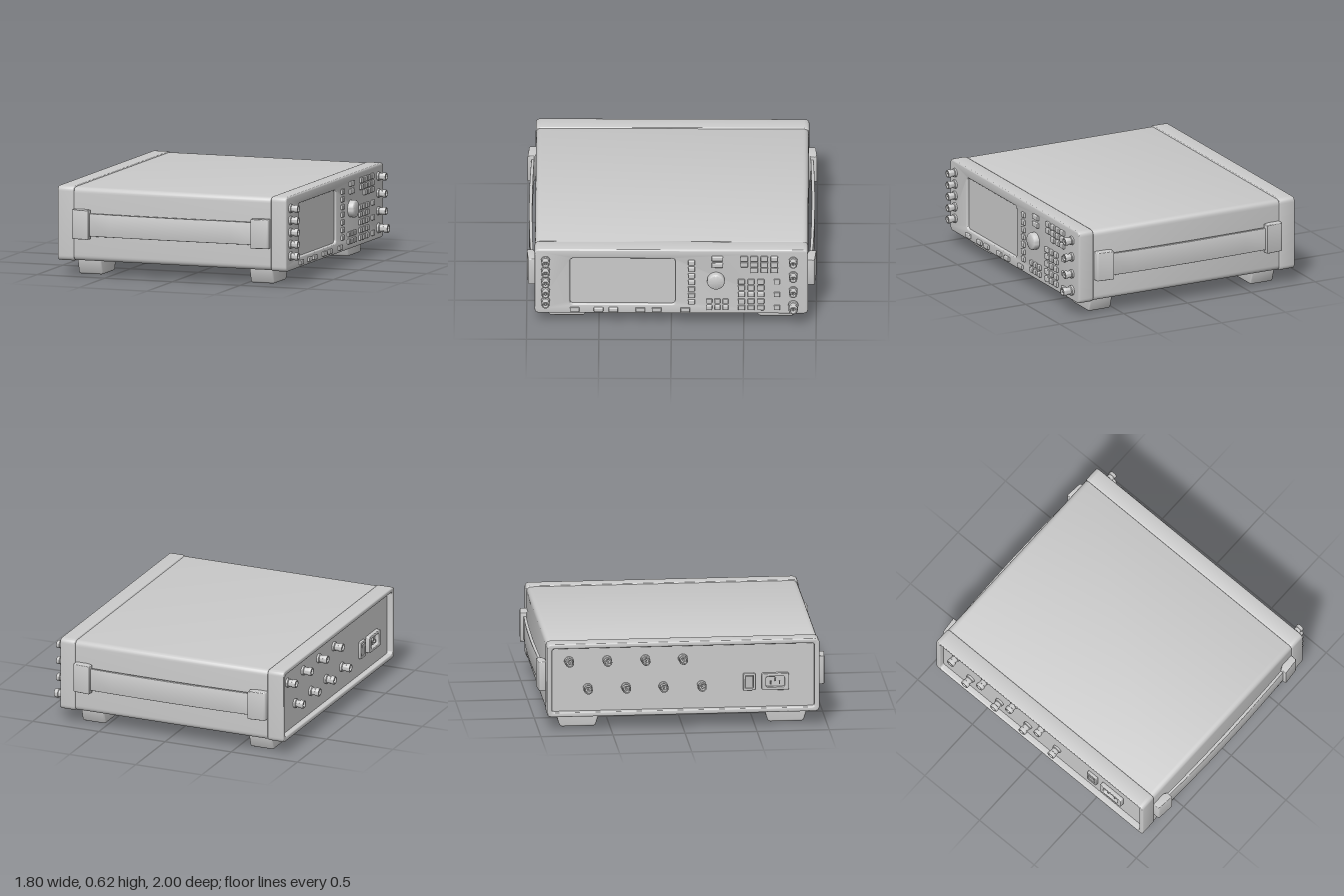
import * as THREE from 'three';
import { toCreasedNormals } from 'three/addons/utils/BufferGeometryUtils.js';
import { RoundedBoxGeometry } from 'three/addons/geometries/RoundedBoxGeometry.js';

const grey = new THREE.MeshStandardMaterial({ color: 0xcccccc });

function add(parent, name, geometry, x = 0, y = 0, z = 0) {
  const mesh = new THREE.Mesh(geometry, grey);
  mesh.name = name;
  mesh.position.set(x, y, z);
  parent.add(mesh);
  return mesh;
}

// Rounded rectangle; u runs along -z, v along y
function roundRect(u0, u1, v0, v1, r, Type = THREE.Shape) {
  const s = new Type();
  s.moveTo(u0 + r, v0);
  s.lineTo(u1 - r, v0);
  s.quadraticCurveTo(u1, v0, u1, v0 + r);
  s.lineTo(u1, v1 - r);
  s.quadraticCurveTo(u1, v1, u1 - r, v1);
  s.lineTo(u0 + r, v1);
  s.quadraticCurveTo(u0, v1, u0, v1 - r);
  s.lineTo(u0, v0 + r);
  s.quadraticCurveTo(u0, v0, u0 + r, v0);
  return s;
}

function extrude(shape, depth, bevel) {
  return new THREE.ExtrudeGeometry(shape, {
    depth: depth - 2 * bevel, curveSegments: 6, bevelEnabled: bevel > 0, bevelSegments: 3,
    bevelSize: bevel, bevelThickness: bevel, bevelOffset: -bevel,
  }).translate(0, 0, bevel);
}

// Extrudes a (u, v) shape from x0 to x1
function slab(shape, x0, x1, bevel) {
  const g = extrude(shape, x1 - x0, bevel).rotateY(Math.PI / 2).translate(x0, 0, 0);
  return toCreasedNormals(g, 0.6);
}

// Turned part; profile is [radius, height] pairs, axis along +x (dir 1) or -x (dir -1)
function turned(profile, dir = 1, sides = 24) {
  const pts = profile.map(([r, h]) => new THREE.Vector2(r, h));
  return toCreasedNormals(new THREE.LatheGeometry(pts, sides).rotateZ(-dir * Math.PI / 2), 0.6);
}

// Coaxial socket with base flange, barrel, collar, hollow mouth and centre pin
function socketProfile(r, len) {
  return [[r, 0], [r, len * 0.2], [r * 0.78, len * 0.25], [r * 0.78, len * 0.6], [r * 0.9, len * 0.63],
    [r * 0.9, len * 0.92], [r * 0.82, len], [r * 0.6, len], [r * 0.6, len * 0.5],
    [r * 0.2, len * 0.5], [r * 0.2, len * 0.9], [0, len * 0.9]];
}

export function createModel() {
  const model = new THREE.Group();
  const FACE = 0.82;

  // Case: middle shell between two bezels
  add(model, 'caseShell', slab(roundRect(-0.942, 0.942, 0.104, 0.615, 0.04), -0.75, 0.705, 0.004));

  const frontShape = roundRect(-0.945, 0.945, 0.1, 0.62, 0.035);
  frontShape.holes.push(roundRect(-0.7, 0.027, 0.176, 0.547, 0.025, THREE.Path));
  add(model, 'frontBezel', slab(frontShape, 0.705, FACE, 0.01));
  add(model, 'screen', new THREE.BoxGeometry(0.08, 0.39, 0.75), 0.762, 0.3615, 0.3365);

  const rearShape = roundRect(-0.945, 0.945, 0.1, 0.62, 0.035);
  rearShape.holes.push(roundRect(-0.91, 0.91, 0.133, 0.587, 0.02, THREE.Path));
  add(model, 'rearBezel', slab(rearShape, -0.87, -0.75, 0.008));
  add(model, 'rearPanel', new THREE.BoxGeometry(0.07, 0.47, 1.84), -0.795, 0.36, 0);

  // Feet, tapered towards the ground
  for (const side of [-1, 1]) {
    for (const [x0, x1] of [[-0.75, -0.575], [0.52, 0.692]]) {
      const s = new THREE.Shape();
      s.moveTo(-0.15, 0.125);
      s.lineTo(-0.15, 0.09);
      s.lineTo(-0.128, 0.018);
      s.quadraticCurveTo(-0.122, 0, -0.105, 0);
      s.lineTo(0.105, 0);
      s.quadraticCurveTo(0.122, 0, 0.128, 0.018);
      s.lineTo(0.15, 0.09);
      s.lineTo(0.15, 0.125);
      s.closePath();
      add(model, 'foot', slab(s, x0, x1, 0.012), 0, 0, side * 0.722);
    }
  }

  // Side carrying handles: bowed strap held by two end caps
  for (const side of [-1, 1]) {
    const handle = new THREE.Group();
    handle.name = 'sideHandle';
    const strap = new THREE.Shape();
    strap.moveTo(-0.66, 0.953);
    strap.quadraticCurveTo(0, 0.977, 0.66, 0.953);
    strap.lineTo(0.66, 0.972);
    strap.quadraticCurveTo(0, 1.004, -0.66, 0.972);
    strap.closePath();
    // Plan shapes are drawn in x and z, then stood up along y
    const upright = (shape, y0, y1, bevel) => toCreasedNormals(
      extrude(shape, y1 - y0, bevel).rotateX(Math.PI / 2).translate(0, y1, 0), 0.6);
    add(handle, 'handleStrap', upright(strap, 0.282, 0.44, 0.003));
    for (const end of [-1, 1]) {
      const cap = new THREE.Shape();
      cap.moveTo(end * 0.725, 0.935);
      cap.lineTo(end * 0.725, 0.982);
      cap.quadraticCurveTo(end * 0.722, 0.988, end * 0.71, 0.99);
      cap.lineTo(end * 0.6, 1.0);
      cap.lineTo(end * 0.597, 0.955);
      cap.lineTo(end * 0.64, 0.935);
      cap.closePath();
      add(handle, 'handleCap', upright(cap, 0.26, 0.465, 0.005));
    }
    handle.position.x = -0.025;
    if (side < 0) handle.rotation.y = Math.PI;
    if (side < 0) handle.position.x = -0.025;
    model.add(handle);
  }

  // Front keys, in blocks of [name, z list, y list, width, height]
  const keyBlocks = [
    ['softKey', [-0.139], [0.519, 0.466, 0.412, 0.359, 0.305, 0.252, 0.199], 0.048, 0.036],
    ['lowerKey', [0.668, 0.503, 0.401, 0.214, 0.102, -0.096], [0.134], 0.066, 0.032],
    ['modeKey', [-0.318], [0.553, 0.5], 0.08, 0.035],
    ['arrowKey', [-0.262, -0.318, -0.374], [0.206, 0.155], 0.041, 0.036],
    ['functionKey', [-0.503, -0.572, -0.642, -0.711], [0.553, 0.506], 0.053, 0.038],
    ['functionKey', [-0.572, -0.642, -0.711], [0.46], 0.053, 0.038],
    ['numberKey', [-0.484, -0.551, -0.618], [0.366, 0.316, 0.262, 0.206, 0.154], 0.048, 0.037],
    ['outputKey', [-0.729], [0.366, 0.262, 0.154], 0.043, 0.036],
  ];
  for (const [name, zs, ys, w, h] of keyBlocks) {
    const key = new RoundedBoxGeometry(0.03, h, w, 2, 0.006);
    for (const z of zs) for (const y of ys) add(model, name, key, FACE, y, z);
  }

  // Tuning knob
  add(model, 'tuningKnob', turned([[0.06, 0], [0.06, 0.034], [0.056, 0.041], [0.05, 0.044], [0, 0.044]], 1, 40),
    FACE, 0.38, -0.308);

  // Front sockets
  const frontSocket = turned(socketProfile(0.031, 0.062));
  for (const y of [0.535, 0.452, 0.369, 0.286, 0.203]) add(model, 'leftSocket', frontSocket, FACE, y, 0.869);
  for (const y of [0.535, 0.417, 0.294]) add(model, 'rightSocket', frontSocket, FACE, y, -0.842);
  add(model, 'outputSocket', turned(socketProfile(0.035, 0.078)), FACE, 0.174, -0.842);

  // Rear sockets in two staggered rows
  const rearSocket = turned(socketProfile(0.033, 0.072), -1);
  [-0.79, -0.66, -0.525, -0.395, -0.26, -0.135, 0, 0.13].forEach((z, i) =>
    add(model, 'rearSocket', rearSocket, -0.83, i % 2 ? 0.295 : 0.49, z));

  // Mains inlet: framed recess with three pins
  const inlet = roundRect(-0.095, 0.095, -0.06, 0.06, 0.015);
  inlet.holes.push(roundRect(-0.065, 0.065, -0.038, 0.038, 0.015, THREE.Path));
  add(model, 'mainsInlet', slab(inlet, -0.03, 0.002, 0.004), -0.83, 0.315, 0.64);
  for (const [dy, dz] of [[0.012, 0], [-0.01, -0.03], [-0.01, 0.03]]) {
    add(model, 'inletPin', new THREE.BoxGeometry(0.02, 0.022, 0.008), -0.84, 0.315 + dy, 0.64 + dz);
  }

  // Power switch: frame and tilted rocker
  const frame = roundRect(-0.042, 0.042, -0.06, 0.06, 0.008);
  frame.holes.push(roundRect(-0.028, 0.028, -0.046, 0.046, 0.005, THREE.Path));
  add(model, 'switchFrame', slab(frame, -0.022, 0.002, 0.003), -0.83, 0.315, 0.46);
  add(model, 'switchRocker', new THREE.BoxGeometry(0.03, 0.088, 0.052), -0.836, 0.315, 0.46).rotation.z = 0.12;

  return model;
}
